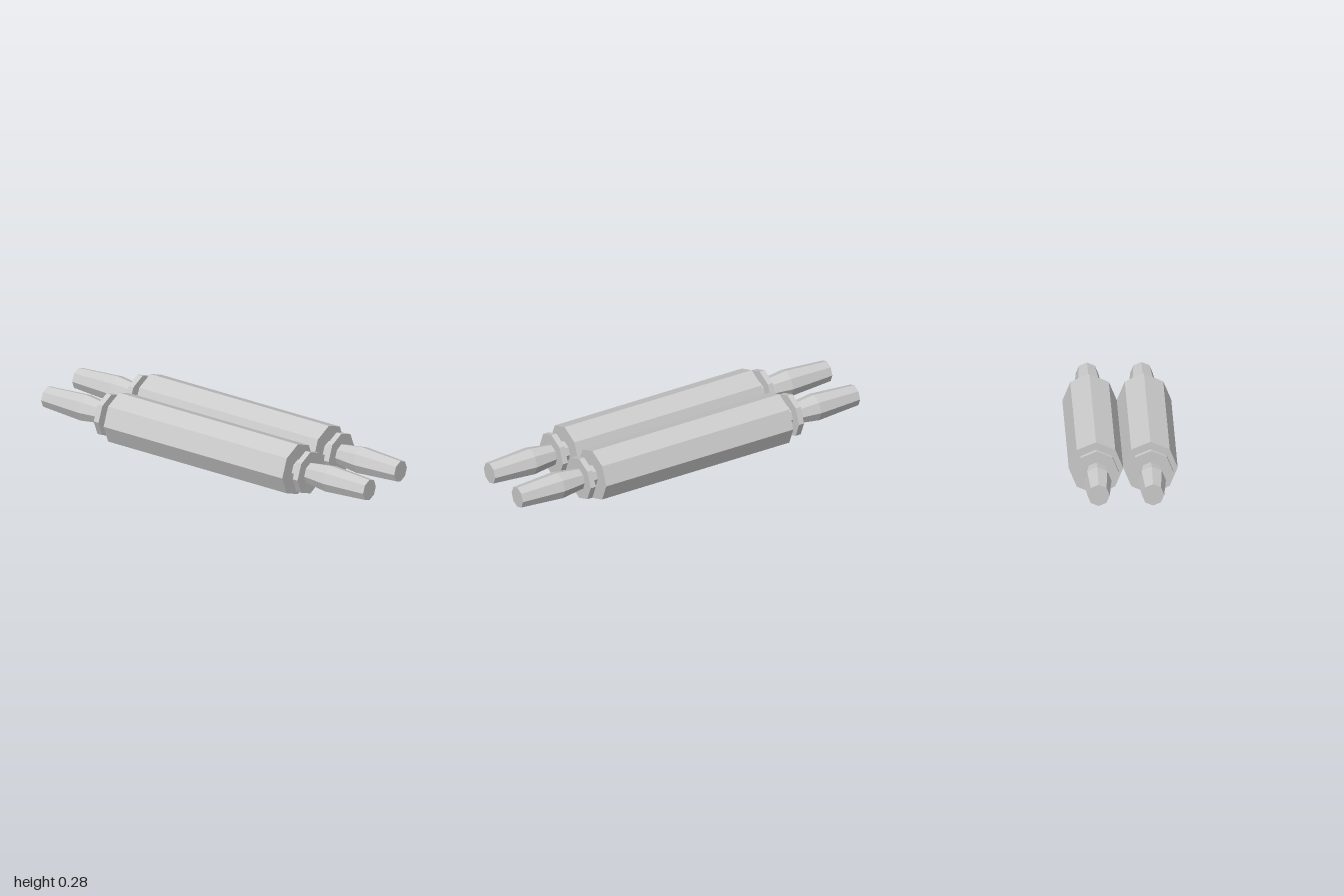
import * as THREE from 'three';

const R = 0.139; // barrel radius
const SIDES = 8;

export function createModel() {
  const model = new THREE.Group();
  model.name = 'twinRollers';
  const material = new THREE.MeshStandardMaterial({ color: 0xcccccc, flatShading: true });

  // Octagonal solid along the local y axis, from [radius, position] pairs
  const turned = (name, profile) => {
    const points = profile.map(([r, y]) => new THREE.Vector2(r, y));
    const mesh = new THREE.Mesh(new THREE.LatheGeometry(points, SIDES), material);
    mesh.name = name;
    return mesh;
  };
  const rod = (name, r, a, b) => turned(name, [[0, a], [r, a], [r, b], [0, b]]);

  for (const [label, z] of [['front', R], ['back', -R]]) {
    const roller = new THREE.Group();
    roller.name = label + 'Roller';
    roller.add(rod('barrel', R, -0.555, 0.555));

    // Neck, collar and tapered handle at each end
    for (const [side, turn] of [['right', 0], ['left', Math.PI]]) {
      const end = new THREE.Group();
      end.name = side + 'End';
      end.add(
        rod('neck', 0.055, 0.55, 0.61),
        rod('collar', 0.115, 0.603, 0.633),
        turned('handle', [[0, 0.625], [0.055, 0.625], [0.073, 0.76], [0.057, 1], [0, 1]])
      );
      end.rotation.x = turn;
      roller.add(end);
    }

    // Lay the roller along x
    roller.rotation.z = Math.PI / 2;
    roller.position.set(0, R, z);
    model.add(roller);
  }
  return model;
}
